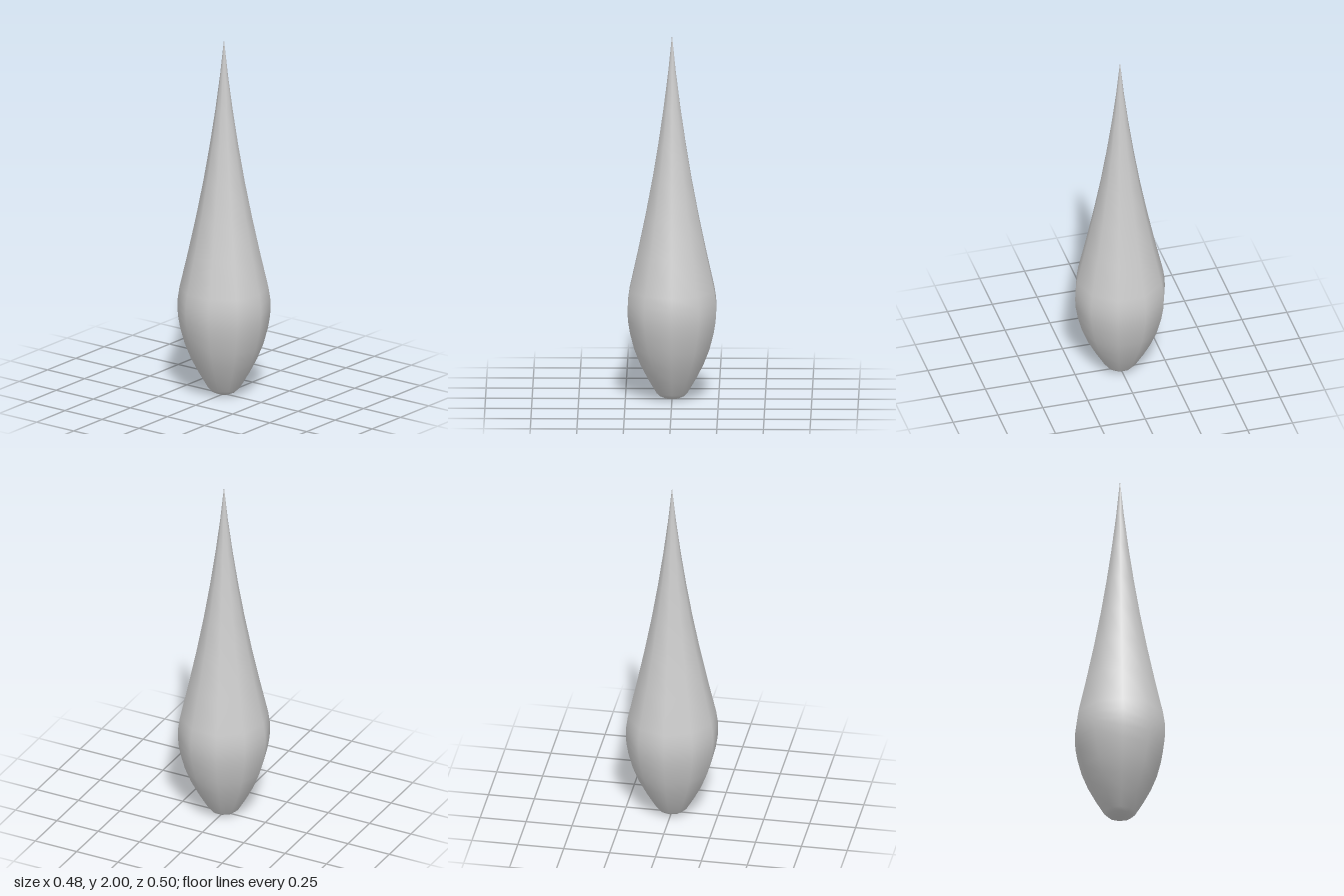
import * as THREE from 'three';

export function createModel() {
  const group = new THREE.Group();
  group.name = 'teardrop';

  // Profile from the rounded foot up to the sharp tip: radius, height
  const profile = [
    [0, 0], [0.04, 0.006], [0.068, 0.019], [0.086, 0.036],
    [0.135, 0.118], [0.178, 0.2], [0.212, 0.285], [0.236, 0.375],
    [0.247, 0.44], [0.25, 0.49], [0.248, 0.54], [0.239, 0.6],
    [0.193, 0.8], [0.15, 1.0], [0.111, 1.2], [0.077, 1.4],
    [0.047, 1.6], [0.021, 1.8], [0, 2],
  ].map(([r, y]) => new THREE.Vector2(r, y));

  // Ten-sided smooth body with corners on the z axis
  const body = new THREE.Mesh(
    new THREE.LatheGeometry(profile, 10),
    new THREE.MeshStandardMaterial({ color: 0xcccccc })
  );
  body.name = 'dropBody';
  group.add(body);
  return group;
}
